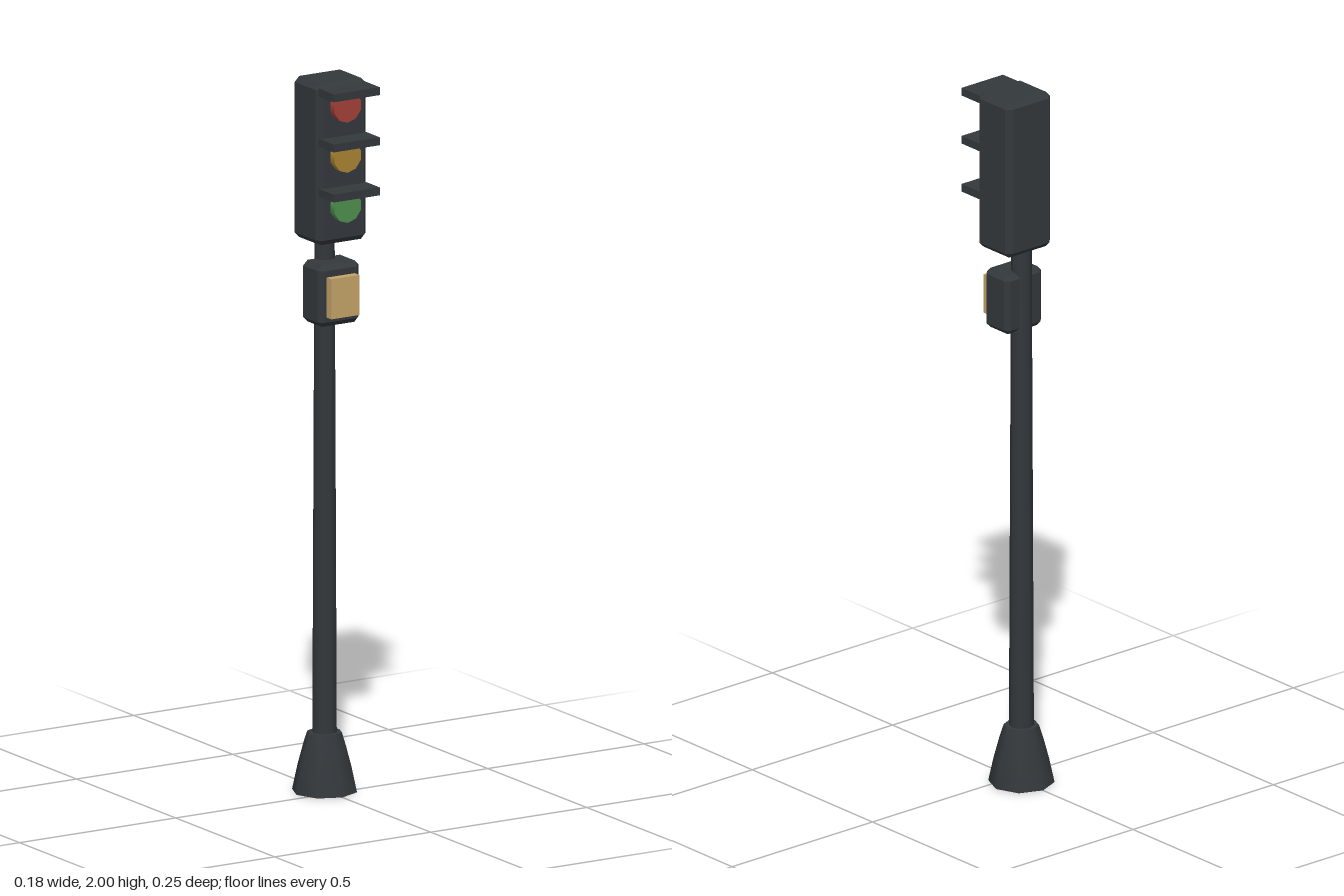
import * as THREE from 'three';
import { ConvexGeometry } from 'three/addons/geometries/ConvexGeometry.js';
import { toCreasedNormals } from 'three/addons/utils/BufferGeometryUtils.js';

const POLE_Z = -0.036;

// Box with all edges and corners cut at 45 degrees
function chamferBox(w, h, d, c) {
  const points = [];
  const half = [w / 2, h / 2, d / 2];
  for (const sx of [-1, 1]) for (const sy of [-1, 1]) for (const sz of [-1, 1]) {
    for (let axis = 0; axis < 3; axis++) {
      const p = half.map((v, i) => (i === axis ? v : v - c));
      points.push(new THREE.Vector3(sx * p[0], sy * p[1], sz * p[2]));
    }
  }
  return new ConvexGeometry(points);
}

export function createModel() {
  const group = new THREE.Group();
  const paint = (color) => new THREE.MeshStandardMaterial({ color });
  const metal = paint(0x33383c);

  function add(name, geometry, material, x, y, z) {
    const mesh = new THREE.Mesh(geometry, material);
    mesh.name = name;
    mesh.position.set(x, y, z);
    group.add(mesh);
    return mesh;
  }

  // Flared eight-sided foot
  const profile = [[0, 0], [0.09, 0], [0.075, 0.07], [0.059, 0.13], [0.048, 0.165], [0, 0.165]]
    .map(([r, y]) => new THREE.Vector2(r, y));
  add('base', toCreasedNormals(new THREE.LatheGeometry(profile, 8), 0.9), metal, 0, 0, POLE_Z);

  // Slightly tapered pole
  add('pole', new THREE.CylinderGeometry(0.028, 0.034, 1.44, 8), metal, 0, 0.86, POLE_Z);

  // Signal housing
  add('signalHousing', chamferBox(0.16, 0.45, 0.136, 0.015), metal, 0, 1.775, -0.008);

  // Three lamps, each under a flat visor
  const lamps = [['red', 0xa33f38], ['yellow', 0xa88332], ['green', 0x4f8f4c]];
  const lampGeometry = new THREE.CylinderGeometry(0.044, 0.044, 0.04, 10).rotateX(Math.PI / 2);
  const visorGeometry = new THREE.BoxGeometry(0.148, 0.022, 0.08);
  lamps.forEach(([name, color], i) => {
    const y = 1.935 - i * 0.14;
    add(name + 'Lamp', lampGeometry, paint(color), 0, y, 0.061);
    add(name + 'Visor', visorGeometry, metal, 0, y + 0.044, 0.087);
  });

  // Pedestrian signal box with its lit panel
  add('pedestrianBox', chamferBox(0.132, 0.172, 0.1, 0.014), metal, 0, 1.403, -0.004);
  add('pedestrianPanel', new THREE.BoxGeometry(0.09, 0.112, 0.04), paint(0xc4a468), 0, 1.401, 0.049);

  return group;
}
